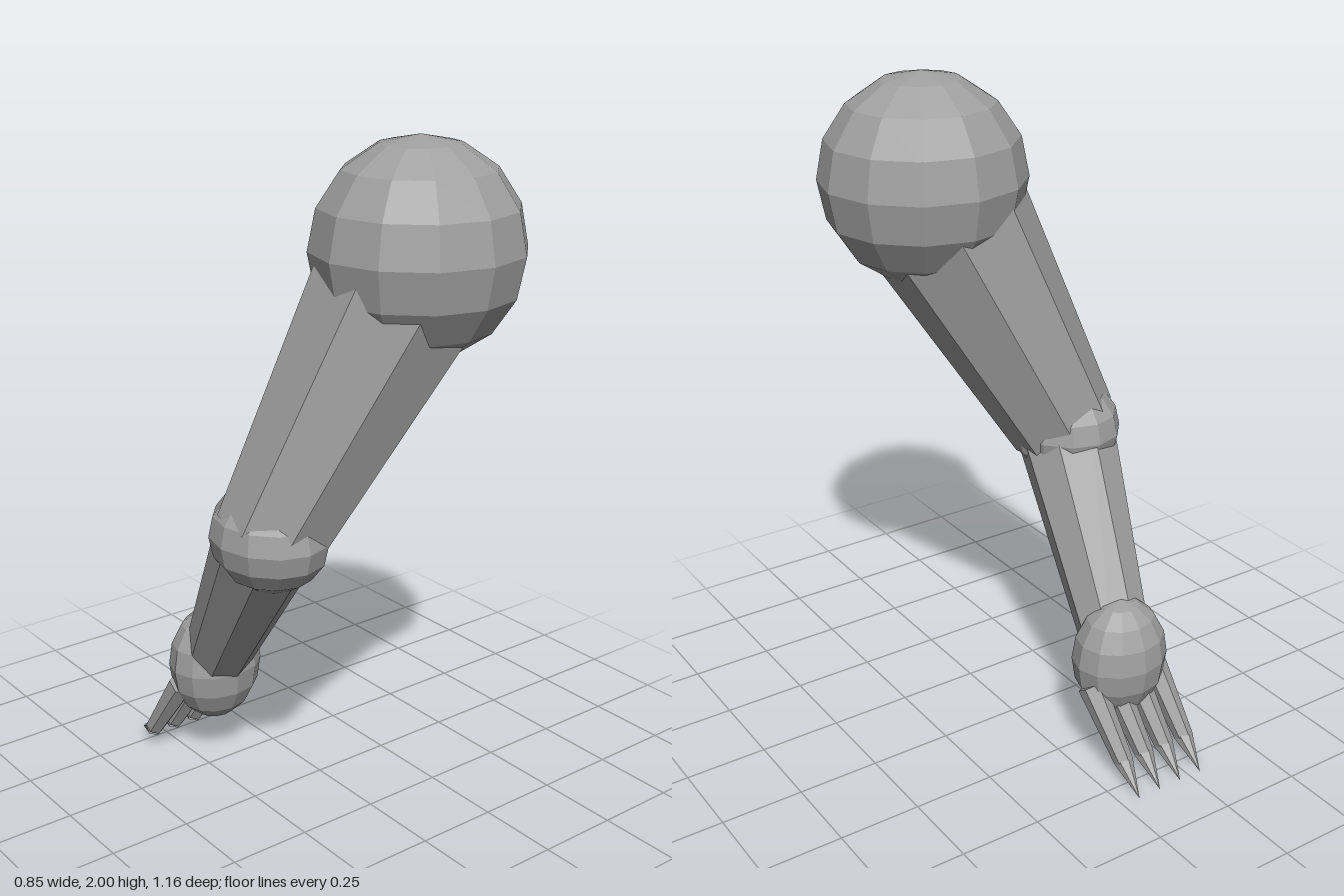
import * as THREE from 'three';

export function createModel() {
  const model = new THREE.Group();
  model.name = 'arm';
  const grey = new THREE.MeshStandardMaterial({ color: 0xa0a0a0, flatShading: true });
  grey.name = 'plain grey';

  const V = (x, y, z) => new THREE.Vector3(x, y, z);

  // Faceted ball joint, stretched along each axis
  function joint(name, centre, rx, ry, rz) {
    const geo = new THREE.SphereGeometry(1, 12, 8);
    geo.scale(rx, ry, rz);
    const mesh = new THREE.Mesh(geo, grey);
    mesh.position.copy(centre);
    mesh.name = name;
    model.add(mesh);
  }

  // Tapered prism running from one point to another
  function limb(name, from, to, rFrom, rTo, sides, twist = 0, parent = model) {
    const dir = from.clone().sub(to);
    const geo = new THREE.CylinderGeometry(rFrom, rTo, dir.length(), sides);
    geo.rotateY(twist);
    const mesh = new THREE.Mesh(geo, grey);
    mesh.position.copy(from).add(to).multiplyScalar(0.5);
    mesh.quaternion.setFromUnitVectors(V(0, 1, 0), dir.normalize());
    mesh.name = name;
    parent.add(mesh);
  }

  const shoulder = V(0.115, 1.695, 0.283);
  const elbow = V(-0.26, 0.9, 0.105);
  const wrist = V(-0.175, 0.318, -0.315);

  joint('shoulder', shoulder, 0.305, 0.305, 0.297);
  joint('elbow', elbow, 0.165, 0.16, 0.19);
  joint('hand', wrist, 0.15, 0.188, 0.13);

  limb('upperArm', shoulder, elbow, 0.262, 0.167, 8, Math.PI / 8);
  limb('forearm', elbow, wrist, 0.155, 0.103, 8);

  // Four fingers, each ending in a pointed claw
  for (let i = 0; i < 4; i++) {
    const x = -0.313 + i * 0.0765;
    const finger = new THREE.Group();
    finger.name = 'finger' + (i + 1);
    const base = V(x + 0.025, 0.26, -0.335);
    const knuckle = V(x, 0.058, -0.468);
    limb('fingerBone', base, knuckle, 0.042, 0.029, 6, 0, finger);
    limb('claw', knuckle, V(x + 0.025, 0.003, -0.58), 0.029, 0, 6, 0, finger);
    model.add(finger);
  }
  return model;
}
